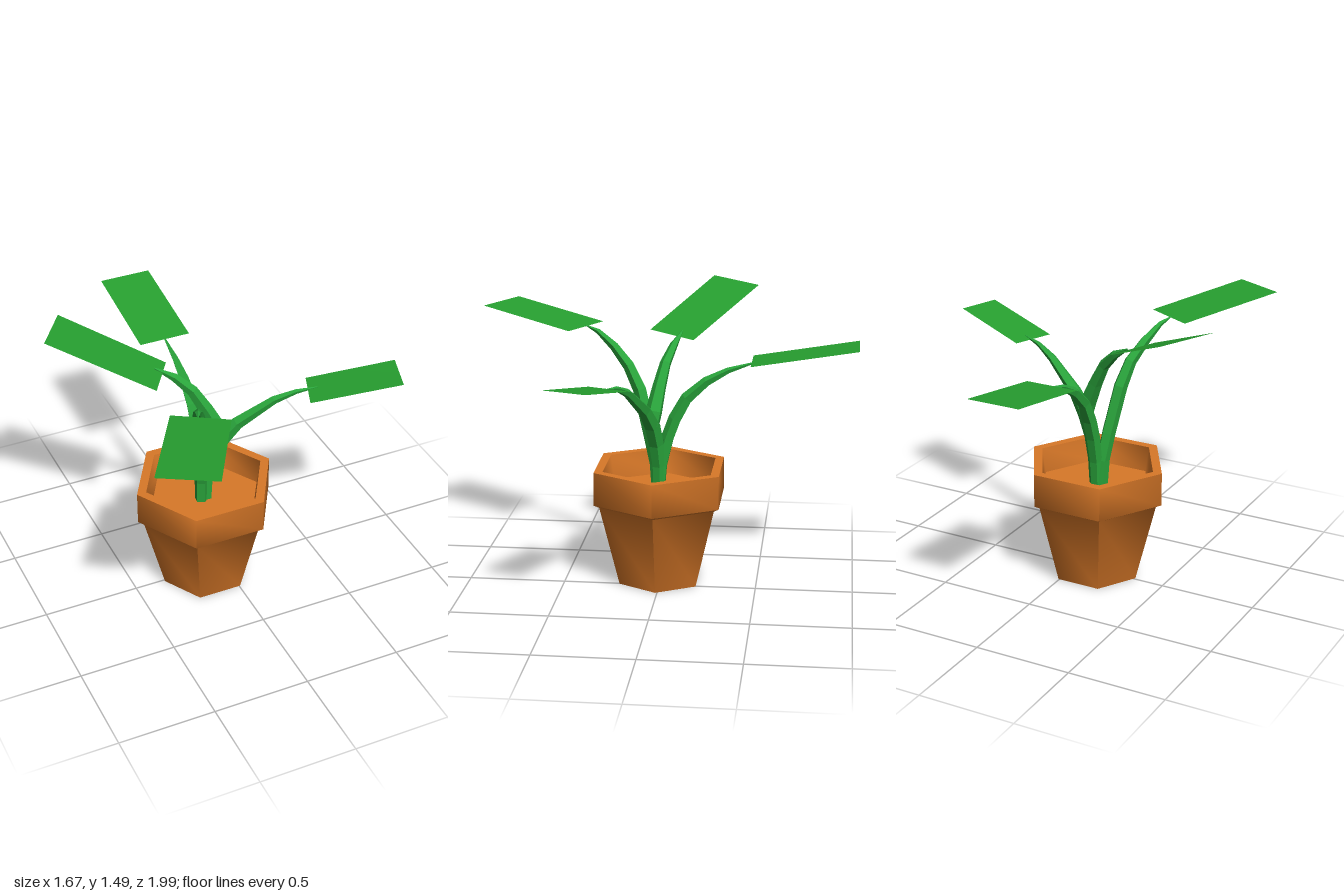
import * as THREE from 'three';
import { toCreasedNormals } from 'three/addons/utils/BufferGeometryUtils.js';

const CX = -0.11, CZ = 0.01; // pot axis
const clay = new THREE.MeshStandardMaterial({ color: 0xd87828 });
const stemGreen = new THREE.MeshStandardMaterial({ color: 0x2aa63c, flatShading: true });
const leafGreen = new THREE.MeshStandardMaterial({ color: 0x27a030, side: THREE.DoubleSide });

function mesh(name, geometry, material) {
  const m = new THREE.Mesh(geometry, material);
  m.name = name;
  return m;
}

function indexed(positions, indices) {
  const g = new THREE.BufferGeometry();
  g.setAttribute('position', new THREE.Float32BufferAttribute(positions, 3));
  g.setIndex(indices);
  g.computeVertexNormals();
  return g;
}

// Tapered five-sided stem through points [x, y, z, radius], lying in a vertical plane
function stemGeometry(path) {
  const SIDES = 5;
  const pts = path.map(([x, y, z]) => new THREE.Vector3(x, y, z));
  const last = pts.length - 1;
  const run = pts[last].clone().sub(pts[0]);
  const side = new THREE.Vector3(run.z, 0, -run.x).normalize();
  const pos = [], idx = [];
  pts.forEach((p, i) => {
    const t = pts[Math.min(i + 1, last)].clone().sub(pts[Math.max(i - 1, 0)]).normalize();
    const n = t.clone().cross(side).normalize();
    for (let j = 0; j < SIDES; j++) {
      const a = (j / SIDES) * Math.PI * 2 + Math.PI / 2;
      const v = p.clone()
        .addScaledVector(side, Math.cos(a) * path[i][3])
        .addScaledVector(n, Math.sin(a) * path[i][3]);
      pos.push(v.x, v.y, v.z);
      if (i < last) {
        const k = (j + 1) % SIDES, r = i * SIDES, s = r + SIDES;
        idx.push(r + j, r + k, s + k, r + j, s + k, s + j);
      }
    }
  });
  return indexed(pos, idx);
}

// Flat leaf from four corners, counter-clockwise from above
const leafGeometry = (corners) => indexed(corners.flat(), [0, 1, 2, 0, 2, 3]);

export function createModel() {
  const group = new THREE.Group();

  // Six-sided pot with a rim lip and a hollow top
  const profile = [
    [0, 0], [0.23, 0], [0.34, 0.43], [0.37, 0.445], [0.37, 0.62], [0.32, 0.62], [0.3, 0.49],
  ].map(([r, y]) => new THREE.Vector2(r, y));
  const pot = mesh('pot', toCreasedNormals(
    new THREE.LatheGeometry(profile, 6, Math.PI / 2), THREE.MathUtils.degToRad(62)), clay);
  pot.position.set(CX, 0, CZ);
  group.add(pot);

  // Soil surface
  const soil = mesh('soil', new THREE.CircleGeometry(0.305, 6), clay);
  soil.rotation.x = -Math.PI / 2;
  soil.position.set(CX, 0.49, CZ);
  group.add(soil);

  // Stems; the left one forks off the right one
  const stems = {
    backStem: [
      [-0.11, 0.48, 0.01, 0.03], [-0.11, 0.62, 0, 0.033], [-0.11, 0.76, -0.03, 0.036],
      [-0.11, 0.87, -0.07, 0.036], [-0.11, 0.98, -0.13, 0.033], [-0.11, 1.07, -0.23, 0.026],
      [-0.11, 1.13, -0.34, 0.016], [-0.11, 1.18, -0.49, 0.003]],
    frontStem: [
      [-0.13, 0.48, 0.02, 0.035], [-0.135, 0.62, 0.03, 0.035], [-0.15, 0.76, 0.06, 0.037],
      [-0.185, 1.0, 0.12, 0.037], [-0.21, 1.12, 0.18, 0.032], [-0.25, 1.21, 0.26, 0.025],
      [-0.29, 1.28, 0.35, 0.014], [-0.32, 1.305, 0.42, 0.003]],
    rightStem: [
      [-0.1, 0.48, 0.015, 0.03], [-0.095, 0.62, 0.015, 0.034], [-0.075, 0.74, 0.025, 0.04],
      [-0.03, 0.85, 0.04, 0.042], [0.05, 0.95, 0.07, 0.034], [0.22, 1.08, 0.135, 0.022],
      [0.32, 1.125, 0.175, 0.013], [0.42, 1.145, 0.21, 0.003]],
    leftStem: [
      [-0.03, 0.85, 0.04, 0.038], [-0.045, 0.92, 0.032, 0.045], [-0.1, 1.04, 0.01, 0.037],
      [-0.16, 1.15, -0.015, 0.03], [-0.24, 1.23, -0.05, 0.022], [-0.33, 1.285, -0.085, 0.004]],
  };
  for (const [name, path] of Object.entries(stems)) {
    group.add(mesh(name, stemGeometry(path), stemGreen));
  }

  // Rectangular leaves rising outward
  const leaves = {
    backLeaf: [[-0.25, 1.18, -0.46], [0.02, 1.18, -0.46], [0.02, 1.27, -1], [-0.25, 1.27, -1]],
    frontLeaf: [[-0.18, 1.3, 0.49], [-0.43, 1.305, 0.345], [-0.72, 1.375, 0.85], [-0.46, 1.37, 0.99]],
    rightLeaf: [[0.41, 1.135, 0.1], [0.33, 1.135, 0.31], [0.76, 1.217, 0.465], [0.83, 1.217, 0.25]],
    leftLeaf: [[-0.24, 1.255, -0.15], [-0.68, 1.47, -0.46], [-0.84, 1.49, -0.21], [-0.39, 1.275, 0.09]],
  };
  for (const [name, corners] of Object.entries(leaves)) {
    group.add(mesh(name, leafGeometry(corners), leafGreen));
  }

  return group;
}
